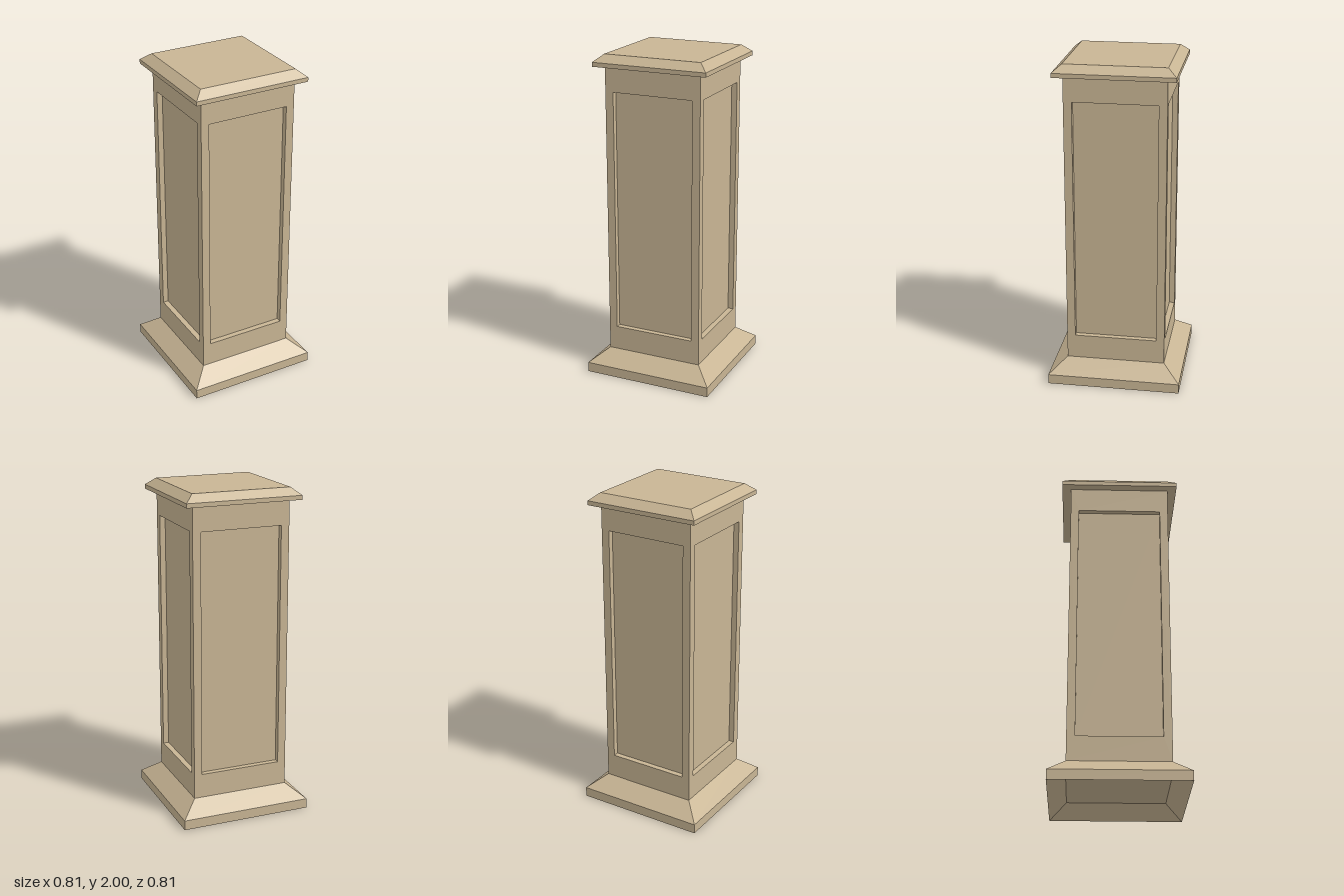
import * as THREE from 'three';

// Rectangular ring: half width, bottom, top, position along z
const rect = (w, y0, y1, z) => [[-w, y0, z], [w, y0, z], [w, y1, z], [-w, y1, z]];
const square = (w, z) => rect(w, -w, w, z);

// Joins rectangular rings with flat faces, optionally closing the first or last ring
function loft(rings, { start = false, end = false } = {}) {
  const points = [];
  const quad = (a, b, c, d) => points.push(...a, ...b, ...c, ...a, ...c, ...d);
  for (let r = 0; r < rings.length - 1; r++) {
    const [p, q] = [rings[r], rings[r + 1]];
    for (let i = 0; i < 4; i++) {
      const j = (i + 1) % 4;
      quad(p[i], p[j], q[j], q[i]);
    }
  }
  if (start) quad(...[...rings[0]].reverse());
  if (end) quad(...rings[rings.length - 1]);
  const geometry = new THREE.BufferGeometry();
  geometry.setAttribute('position', new THREE.Float32BufferAttribute(points, 3));
  geometry.computeVertexNormals();
  return geometry;
}

export function createModel() {
  const model = new THREE.Group();
  model.name = 'pedestal';
  const stone = new THREE.MeshStandardMaterial({ color: 0xc8b594 });
  stone.name = 'sandstone';

  const add = (name, geometry) => {
    const mesh = new THREE.Mesh(geometry, stone);
    mesh.name = name;
    model.add(mesh);
    return mesh;
  };

  const half = 0.301, baseTop = 0.144, capBottom = 1.93;

  // Sloped plinth, hollowed underneath along the same slope
  add('base', loft([
    square(half, 0.084), square(0.405, 0), square(0.405, 0.06), square(half, baseTop),
  ], { start: true }).rotateX(-Math.PI / 2));

  // Four shaft sides, each with a recessed panel
  const recess = 0.034;
  ['front', 'left', 'back', 'right'].forEach((side, i) => {
    const face = add(`${side}ShaftPanel`, loft([
      rect(half, baseTop, capBottom, half),
      rect(0.251, 0.293, 1.778, half),
      rect(0.251, 0.293, 1.778, half - recess),
    ], { end: true }));
    face.rotation.y = i * Math.PI / 2;
  });

  // Overhanging cap with a bevelled top
  add('cap', loft([
    square(half, capBottom), square(0.356, capBottom), square(0.356, 1.956), square(0.303, 2),
  ], { end: true }).rotateX(-Math.PI / 2));

  return model;
}
